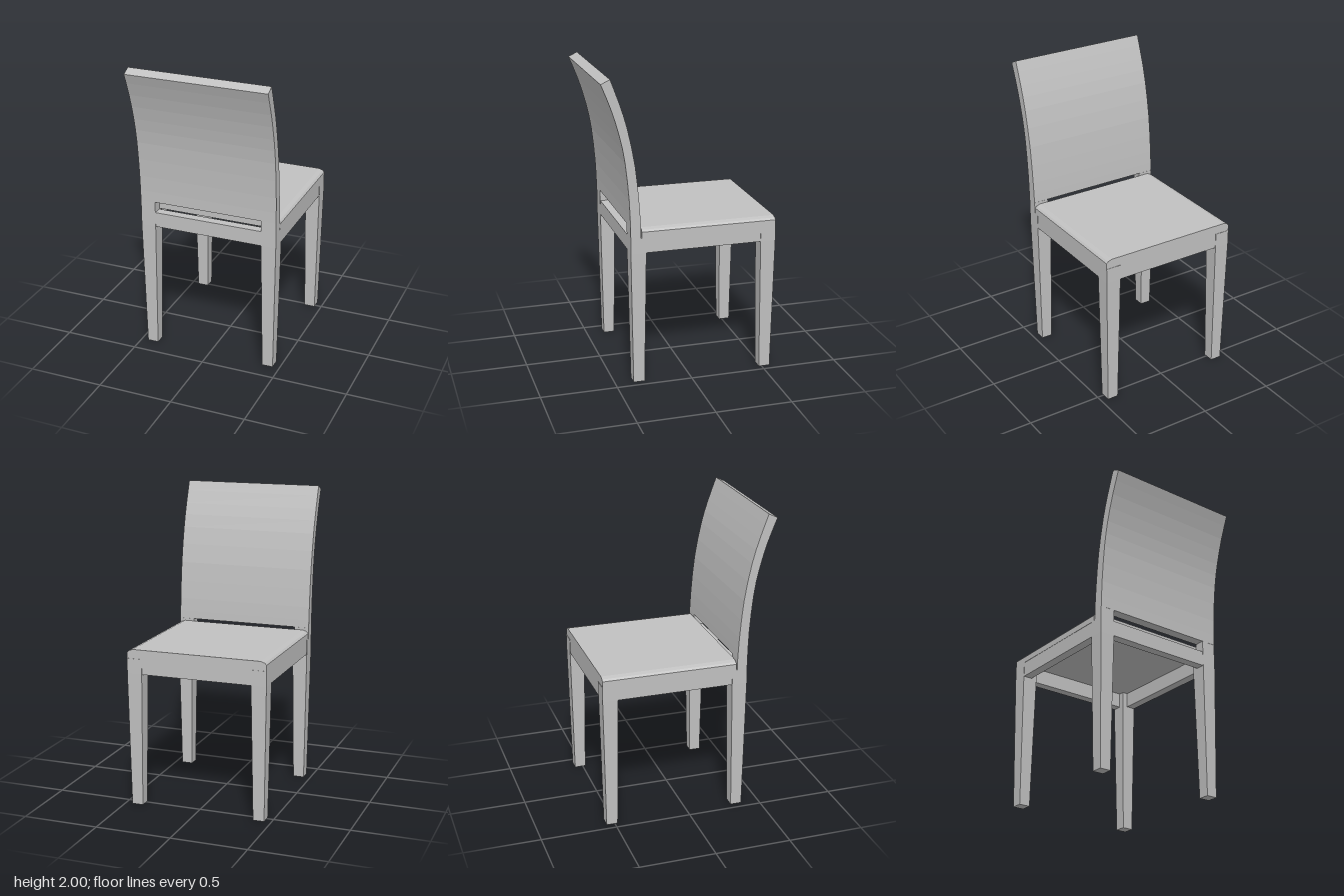
import * as THREE from 'three';

const grey = new THREE.MeshStandardMaterial({ color: 0xc0c0c0 });
grey.name = 'grey';

const HALF = 0.467;   // half width of the chair
const INNER = 0.367;  // inner side of the legs
const RAIL_BOTTOM = 0.885;
const RAIL_TOP = 0.985;

function add(group, name, geometry) {
  const mesh = new THREE.Mesh(geometry, grey);
  mesh.name = name;
  group.add(mesh);
  return mesh;
}

// Box given by its limits on each axis
function slab(x0, x1, y0, y1, z0, z1) {
  return new THREE.BoxGeometry(x1 - x0, y1 - y0, z1 - z0)
    .translate((x0 + x1) / 2, (y0 + y1) / 2, (z0 + z1) / 2);
}

// Square post, straight beside the rails and tapering to the floor
function legGeometry() {
  const box = new THREE.BoxGeometry(0.1, 2, 0.1, 1, 2, 1);
  const p = box.attributes.position;
  for (let i = 0; i < p.count; i++) {
    const y = p.getY(i);
    if (y < -0.5) p.setXYZ(i, p.getX(i) * 0.74, 0, p.getZ(i) * 0.74);
    else p.setY(i, y > 0.5 ? RAIL_TOP : RAIL_BOTTOM);
  }
  const flat = box.toNonIndexed();
  flat.computeVertexNormals();
  return flat;
}

// Curved back: side profile (z, y) pushed across the width
function backGeometry() {
  const curve = (pts) => new THREE.SplineCurve(pts.map(([z, y]) => new THREE.Vector2(z, y))).getPoints(10);
  const front = curve([[0.327, 1.06], [0.335, 1.2], [0.36, 1.45], [0.407, 1.69], [0.455, 1.85], [0.51, 2]]);
  const rear = curve([[0.394, 1.06], [0.4, 1.235], [0.423, 1.475], [0.456, 1.645], [0.508, 1.82], [0.568, 1.972]]);
  const shape = new THREE.Shape([...front, ...rear.reverse()]);
  const geo = new THREE.ExtrudeGeometry(shape, { depth: HALF * 2, bevelEnabled: false });
  return geo.rotateY(-Math.PI / 2).translate(HALF, 0, 0);
}

// Seat: cross-section with eased side edges, pushed from front to back
function seatGeometry() {
  const half = [[HALF, RAIL_TOP], [HALF, 1.024], [0.455, 1.036], [0.428, 1.045]];
  const pts = [...half, ...half.map(([x, y]) => [-x, y]).reverse()];
  const shape = new THREE.Shape(pts.map(([x, y]) => new THREE.Vector2(x, y)));
  return new THREE.ExtrudeGeometry(shape, { depth: 0.886, bevelEnabled: false }).translate(0, 0, -0.566);
}

export function createModel() {
  const chair = new THREE.Group();
  chair.name = 'chair';

  add(chair, 'seat', seatGeometry());
  add(chair, 'backPanel', backGeometry());

  for (const [side, s] of [['Left', 1], ['Right', -1]]) {
    // Legs
    const x = s * (HALF + INNER) / 2;
    add(chair, 'frontLeg' + side, legGeometry()).position.set(x, 0, -0.518);
    add(chair, 'backLeg' + side, legGeometry()).position.set(x, 0, 0.343);

    // Short uprights beside the slot under the back
    const a = s > 0 ? INNER : -HALF;
    add(chair, 'backUpright' + side, slab(a, a + 0.1, RAIL_TOP, 1.06, 0.326, 0.393));

    // Side rail
    const r = s > 0 ? HALF - 0.062 : -HALF + 0.002;
    add(chair, 'sideRail' + side, slab(r, r + 0.06, RAIL_BOTTOM, RAIL_TOP, -0.468, 0.293));
  }

  // Front and back rails
  add(chair, 'frontRail', slab(-INNER, INNER, RAIL_BOTTOM, RAIL_TOP, -0.565, -0.505));
  add(chair, 'backRail', slab(-INNER, INNER, RAIL_BOTTOM, RAIL_TOP, 0.331, 0.391));

  return chair;
}
